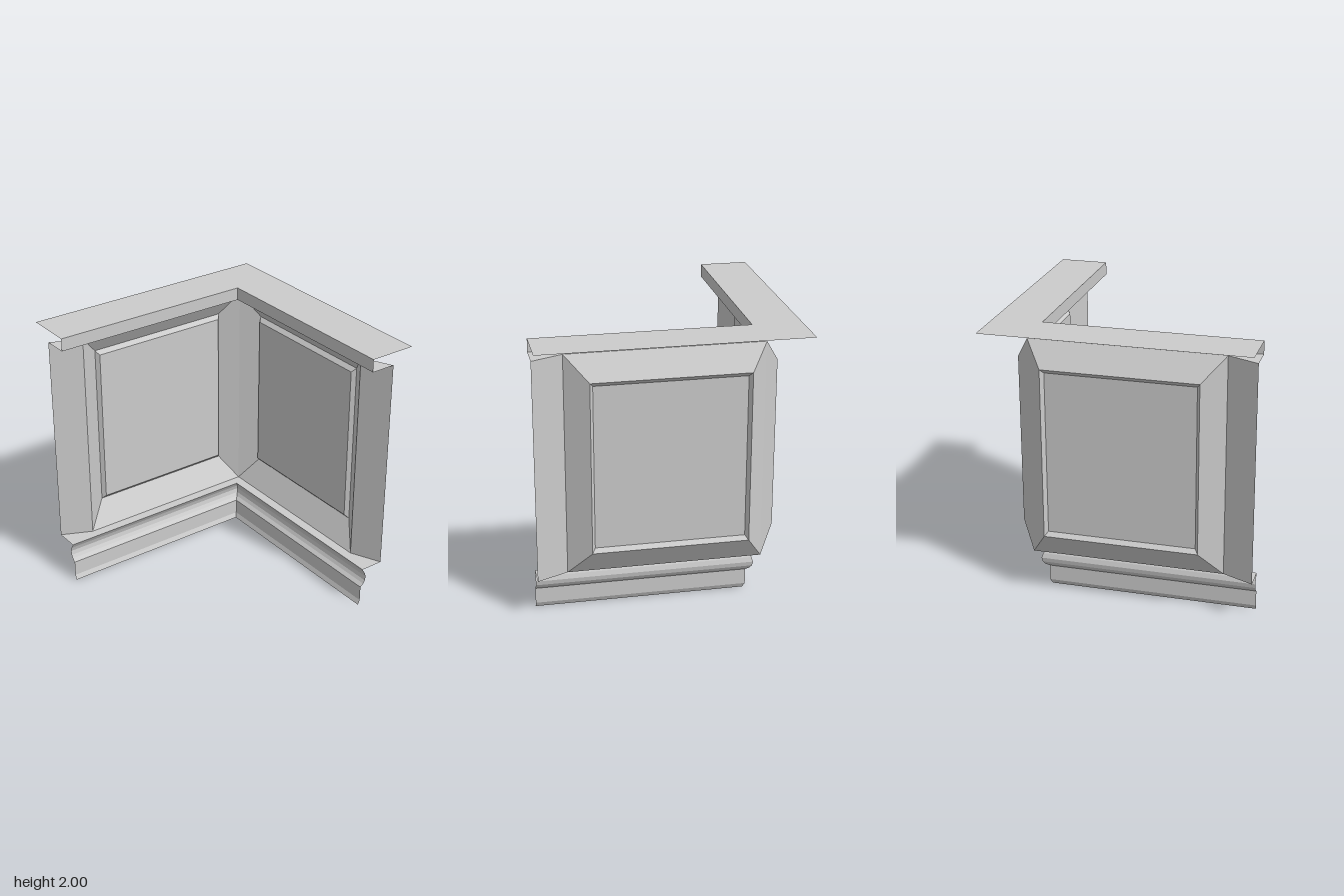
import * as THREE from 'three';

const END = 0.935;                    // outer reach of both arms
const Y0 = 0.3, Y1 = 1.905;           // bottom and top of the panelled wall
const RIDGE = 0.672, RIDGE_S = -0.714; // depth and position of the frame ridge
const LIP = 0.587, TRIM = 0.598;      // front edges of cap and base trim

const material = new THREE.MeshStandardMaterial({
  color: 0xcccccc, flatShading: true, side: THREE.DoubleSide,
});

// Arms are described as (s along the wall, y up, d depth away from the room)
const backArm = ([s, y, d]) => [s, y, -d];
const sideArm = ([s, y, d]) => [d, y, -s];

// Skin of quads between neighbouring rows of points
function loft(name, rows, place, closed = false) {
  const pos = [];
  for (let i = 0; i + 1 < rows.length; i++) {
    const a = rows[i], b = rows[i + 1], n = a.length;
    for (let j = 0; j < (closed ? n : n - 1); j++) {
      const k = (j + 1) % n;
      const quad = [a[j], a[k], b[k], b[j]].map(place);
      // the mirrored arm needs the opposite corner order
      const order = place === sideArm ? [0, 2, 1, 0, 3, 2] : [0, 1, 2, 0, 2, 3];
      for (const q of order) pos.push(...quad[q]);
    }
  }
  const geometry = new THREE.BufferGeometry();
  geometry.setAttribute('position', new THREE.Float32BufferAttribute(pos, 3));
  geometry.computeVertexNormals();
  const mesh = new THREE.Mesh(geometry, material);
  mesh.name = name;
  return mesh;
}

// Moulding: a (depth, height) profile run along an arm, mitred at the corner
const moulding = (name, profile, place) =>
  loft(name, profile.map(([d, y]) => [[-END, y, d], [d, y, d]]), place);

// Flat ledge from a straight front edge back to the bent wall line
const ledge = (name, y, front, place) => loft(name, [
  [[-END, y, front], [RIDGE_S, y, front], [front, y, front]],
  [[-END, y, 0.772], [RIDGE_S, y, RIDGE], [RIDGE, y, RIDGE]],
], place);

const rectangle = (s0, s1, y0, y1, d) =>
  [[s0, y0, d], [s1, y0, d], [s1, y1, d], [s0, y1, d]];

// Base trim: sloped foot, flat band, hollow cove
const baseProfile = [
  [0.571, 0], [LIP, 0.035], [LIP, 0.15], [0.612, 0.172], [0.626, 0.195],
  [0.632, 0.227], [0.622, 0.26], [TRIM, Y0],
];
// Cap: front lip and top board
const capProfile = [[LIP, Y1], [LIP, 2], [END, 2]];

function createArm(name, place) {
  const arm = new THREE.Group();
  arm.name = name;
  const inner = rectangle(-0.53, 0.53, 0.512, 1.698, 0.755);
  arm.add(
    moulding('baseTrim', baseProfile, place),
    ledge('baseLedge', Y0, TRIM, place),
    // slanted end stile
    loft('endStile', [
      [[-END, Y0, 0.772], [RIDGE_S, Y0, RIDGE]],
      [[-END, Y1, 0.772], [RIDGE_S, Y1, RIDGE]],
    ], place),
    // wide bevel sinking away, then a narrow bevel back up to the panel
    loft('panelFrame', [
      rectangle(RIDGE_S, RIDGE, Y0, Y1, RIDGE),
      rectangle(-0.553, 0.553, 0.482, 1.728, 0.784),
      inner,
    ], place, true),
    loft('panel', [[inner[0], inner[1]], [inner[3], inner[2]]], place),
    ledge('capUnderside', Y1, LIP, place),
    moulding('cap', capProfile, place),
  );
  return arm;
}

export function createModel() {
  const model = new THREE.Group();
  model.name = 'panelledWallCorner';
  model.add(createArm('backWall', backArm), createArm('leftWall', sideArm));
  return model;
}
